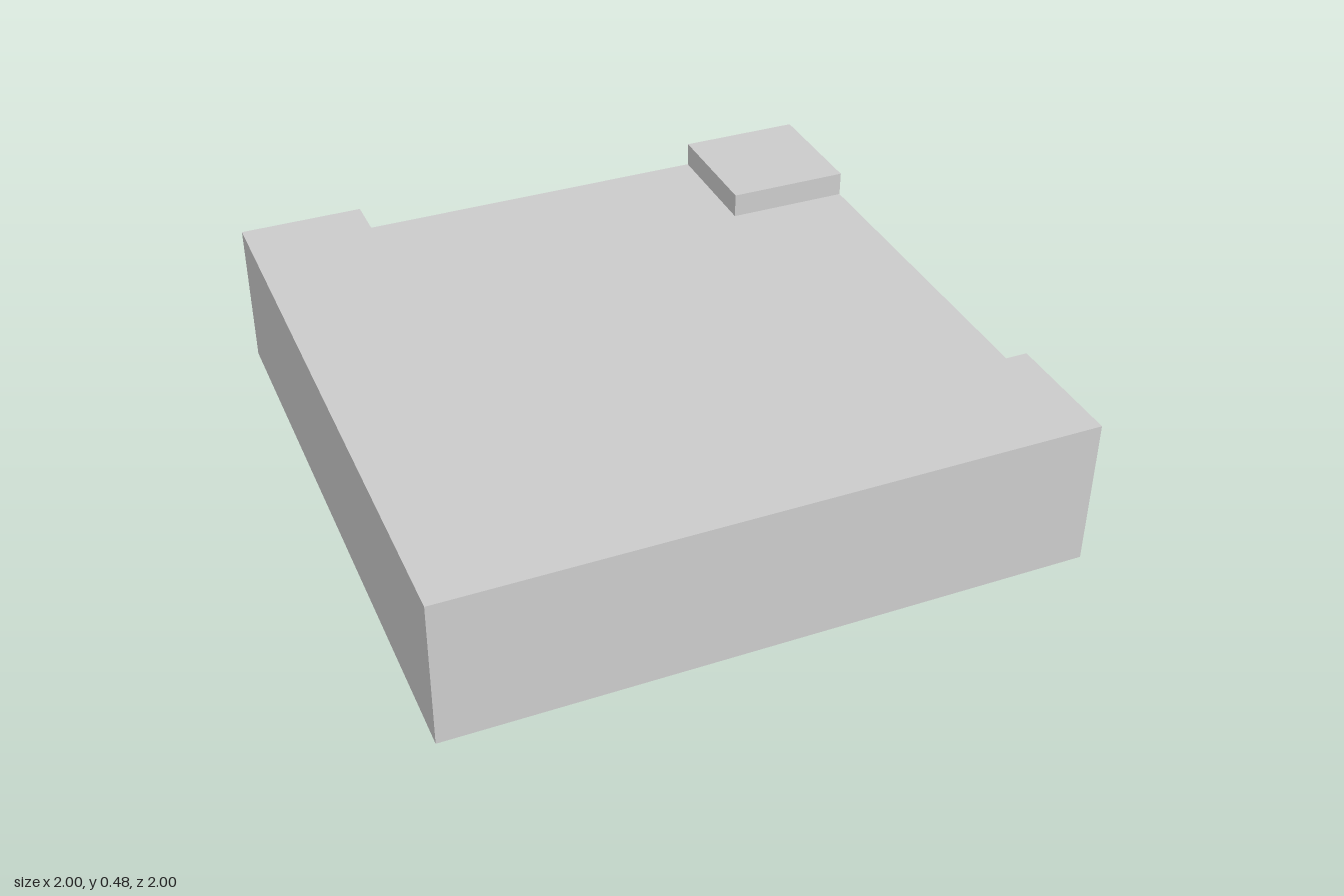
import * as THREE from 'three';

const HALF = 1;        // half the tile width
const INNER = 0.6;     // inner edge of the raised kerbs
const BASE_H = 0.4;    // height of the sunken road surface
const KERB_H = 0.08;   // kerb rise above it

export function createModel() {
  const group = new THREE.Group();
  group.name = 'cornerTile';
  const material = new THREE.MeshStandardMaterial({ color: 0xcccccc, flatShading: true });

  // Extrudes a plan outline of [x, z] points upwards from height y
  function slab(name, outline, y, height) {
    const shape = new THREE.Shape(outline.map(([x, z]) => new THREE.Vector2(x, -z)));
    const geometry = new THREE.ExtrudeGeometry(shape, { depth: height, bevelEnabled: false });
    geometry.rotateX(-Math.PI / 2).translate(0, y, 0);
    const mesh = new THREE.Mesh(geometry, material);
    mesh.name = name;
    group.add(mesh);
  }

  // Square base block
  slab('base', [[-HALF, HALF], [HALF, HALF], [HALF, -HALF], [-HALF, -HALF]], 0, BASE_H);

  // L-shaped kerb around the outside of the bend
  slab('outerKerb', [
    [-HALF, HALF], [HALF, HALF], [HALF, INNER],
    [-INNER, INNER], [-INNER, -HALF], [-HALF, -HALF],
  ], BASE_H, KERB_H);

  // Small square kerb at the inside of the bend
  slab('innerKerb', [[INNER, -INNER], [HALF, -INNER], [HALF, -HALF], [INNER, -HALF]], BASE_H, KERB_H);

  return group;
}
